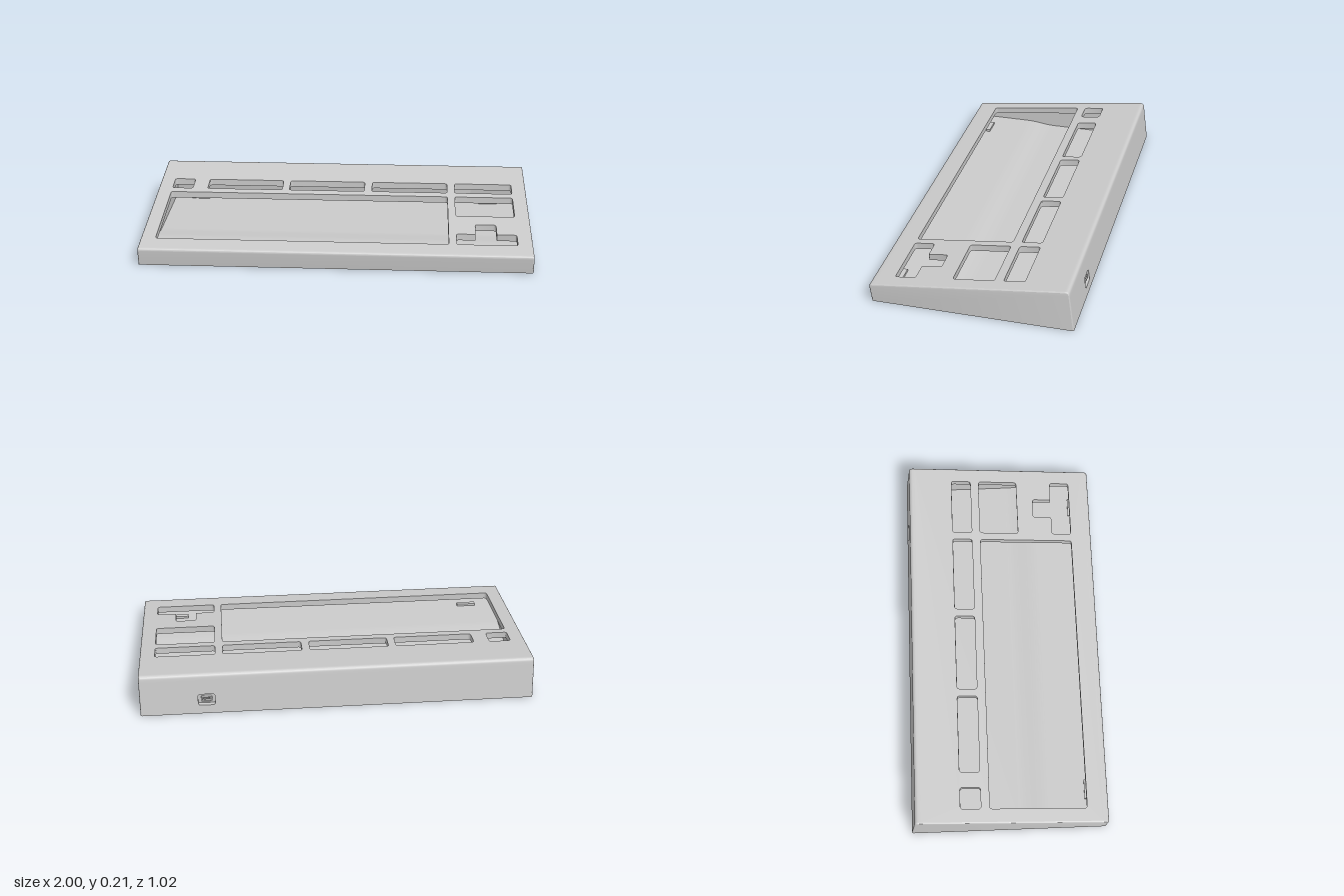
import * as THREE from 'three';
import { toCreasedNormals } from 'three/addons/utils/BufferGeometryUtils.js';

const GREY = new THREE.MeshStandardMaterial({ color: 0xcccccc });

const EDGE = 0.008;            // bevel along the two ends
const HALF = 0.9915;           // half length of the long parts
const THICK = 0.034;           // shell thickness
const SLOPE = -0.1238;
const topY = z => 0.094 + SLOPE * (z - 0.507);   // sloping top surface
const LEAN = 0.13;
const backZ = y => -0.507 + LEAN * y;            // leaning back face

// Closed outline through [x, y, radius] corners
function rounded(points, Type = THREE.Shape) {
  const s = new Type(), n = points.length;
  points.forEach(([x, y, r = 0], i) => {
    const toward = ([px, py]) => {
      const d = Math.hypot(px - x, py - y);
      return [x + (px - x) * r / d, y + (py - y) * r / d];
    };
    const a = toward(points[(i + n - 1) % n]), b = toward(points[(i + 1) % n]);
    if (i) s.lineTo(...a); else s.moveTo(...a);
    if (r) s.quadraticCurveTo(x, y, ...b);
  });
  s.closePath();
  return s;
}

const rect = (x0, x1, y0, y1, r = 0) =>
  [[x0, y0, r], [x1, y0, r], [x1, y1, r], [x0, y1, r]];

function add(group, name, geometry) {
  const mesh = new THREE.Mesh(geometry, GREY);
  mesh.name = name;
  group.add(mesh);
  return mesh;
}

// Extrude a [z, y, radius] section along x, centred
function alongX(section, length) {
  const shape = rounded(section.map(([z, y, r]) => [-z, y, r]));
  const g = new THREE.ExtrudeGeometry(shape, { depth: length, bevelEnabled: false, curveSegments: 6 });
  g.translate(0, 0, -length / 2).rotateY(Math.PI / 2);
  return toCreasedNormals(g, 0.5);
}

export function createModel() {
  const model = new THREE.Group();
  model.name = 'keyboardCase';
  const front = [0.511, topY(0.511), 0.015], back = [backZ(0.216), topY(backZ(0.216)), 0.02];

  // Thin top panel with key openings, drawn in plan and sheared to the slope
  const panel = rounded(rect(-HALF, HALF, -0.48, 0.45));
  const openings = [
    [-0.925, -0.813, -0.25, -0.145],
    [-0.732, -0.323, -0.25, -0.145],
    [-0.284, 0.125, -0.25, -0.145],
    [0.166, 0.575, -0.25, -0.145],
    [0.615, 0.924, -0.25, -0.145],
    [-0.925, 0.575, -0.1, 0.4],
    [0.615, 0.924, -0.1, 0.108],
  ];
  for (const [x0, x1, z0, z1] of openings)
    panel.holes.push(rounded(rect(x0, x1, -z1, -z0, 0.014), THREE.Path));
  panel.holes.push(rounded([
    [0.615, -0.4, 0.014], [0.924, -0.4, 0.014], [0.924, -0.296, 0.014], [0.822, -0.296, 0.006],
    [0.822, -0.196, 0.014], [0.714, -0.196, 0.014], [0.714, -0.296, 0.006], [0.615, -0.296, 0.014],
  ], THREE.Path));
  const panelGeo = new THREE.ExtrudeGeometry(panel, { depth: THICK, bevelEnabled: false, curveSegments: 5 });
  panelGeo.rotateX(-Math.PI / 2).translate(0, -THICK, 0);
  panelGeo.applyMatrix4(new THREE.Matrix4().set(
    1, 0, 0, 0, 0, 1, SLOPE, topY(0), 0, 0, 1, 0, 0, 0, 0, 1));
  add(model, 'topPanel', toCreasedNormals(panelGeo, 0.5));

  // Front wall and rear rim carry the rounded long edges
  add(model, 'frontWall', alongX([
    [0.498, 0], front, [0.48, topY(0.48)], [0.48, 0.05], [0.47, 0],
  ], HALF * 2));
  add(model, 'rearRim', alongX([
    [backZ(0.18), 0.18], [-0.45, 0.18], [-0.45, topY(-0.45)], back,
  ], HALF * 2));

  // Back wall, leaning, with the cable port opening
  const px = 0.665, py = 0.075;
  const wall = rounded(rect(-HALF, HALF, 0, 0.18));
  wall.holes.push(rounded(rect(px - 0.043, px + 0.043, py - 0.03, py + 0.03, 0.014), THREE.Path));
  const wallGeo = new THREE.ExtrudeGeometry(wall, { depth: 0.03, bevelEnabled: false, curveSegments: 5 });
  wallGeo.applyMatrix4(new THREE.Matrix4().set(
    1, 0, 0, 0, 0, 1, 0, 0, 0, LEAN, 1, -0.507, 0, 0, 0, 1));
  add(model, 'backWall', toCreasedNormals(wallGeo, 0.5));

  // Port: a backing and a hollow socket
  const port = new THREE.Group();
  port.name = 'cablePort';
  port.position.set(px, py, backZ(py));
  add(port, 'portBacking', new THREE.BoxGeometry(0.1, 0.07, 0.014)).position.z = 0.026;
  const socket = rounded(rect(-0.028, 0.028, -0.014, 0.014, 0.01));
  socket.holes.push(rounded(rect(-0.022, 0.022, -0.009, 0.009, 0.007), THREE.Path));
  add(port, 'portSocket', new THREE.ExtrudeGeometry(socket, { depth: 0.018, bevelEnabled: false }))
    .position.z = 0.004;
  add(port, 'portTongue', new THREE.BoxGeometry(0.03, 0.005, 0.014)).position.z = 0.014;
  model.add(port);

  // End walls: a softened outer face and an inner liner
  const endShape = rounded([[-0.498, 0], [0.507, 0], [-back[0], back[1], back[2]], [-front[0], front[1], front[2]]]);
  for (const side of [-1, 1]) {
    const name = side > 0 ? 'leftEnd' : 'rightEnd';
    const g = new THREE.ExtrudeGeometry(endShape, {
      depth: 0.001, bevelEnabled: true, bevelThickness: EDGE, bevelSize: EDGE,
      bevelOffset: -EDGE, bevelSegments: 4, curveSegments: 6,
    });
    // keep the bottom edge square
    const p = g.attributes.position;
    for (let i = 0; i < p.count; i++) if (p.getY(i) < EDGE + 0.001) p.setY(i, 0);
    g.translate(0, 0, -0.0005).rotateY(Math.PI / 2);
    add(model, name, toCreasedNormals(g, 0.35)).position.x = side * (1 - EDGE - 0.0005);
    add(model, name + 'Liner', alongX([
      [0.475, 0], [0.475, topY(0.475) - 0.01], [-0.46, topY(-0.46) - 0.01], [-0.485, 0],
    ], 0.03)).position.x = side * 0.971;
  }

  // Floor tray: recessed underside, inner face swelling gently towards the front
  const tray = [[-0.48, 0.004], [0.475, 0.004], [0.475, 0.033]];
  for (let i = 0; i <= 12; i++) {
    const t = i / 12;
    tray.push([0.21 - 0.16 * t, 0.033 - 0.015 * t * t * (3 - 2 * t)]);
  }
  tray.push([-0.48, 0.018]);
  add(model, 'floorTray', alongX(tray, 1.92));

  // Screws and foot pads, the pads showing as low bumps inside
  for (const z of [-0.465, 0.46])
    for (const x of [-0.945, -0.3, 0.3, 0.945])
      add(model, 'screw', new THREE.CylinderGeometry(0.011, 0.011, 0.01, 16)).position.set(x, 0.006, z);
  for (const [z, h] of [[-0.4, 0.03], [0.405, 0.045]])
    for (const x of [-0.81, 0.81])
      add(model, 'footPad', new THREE.BoxGeometry(0.1, h, 0.022)).position.set(x, h / 2, z);

  return model;
}
